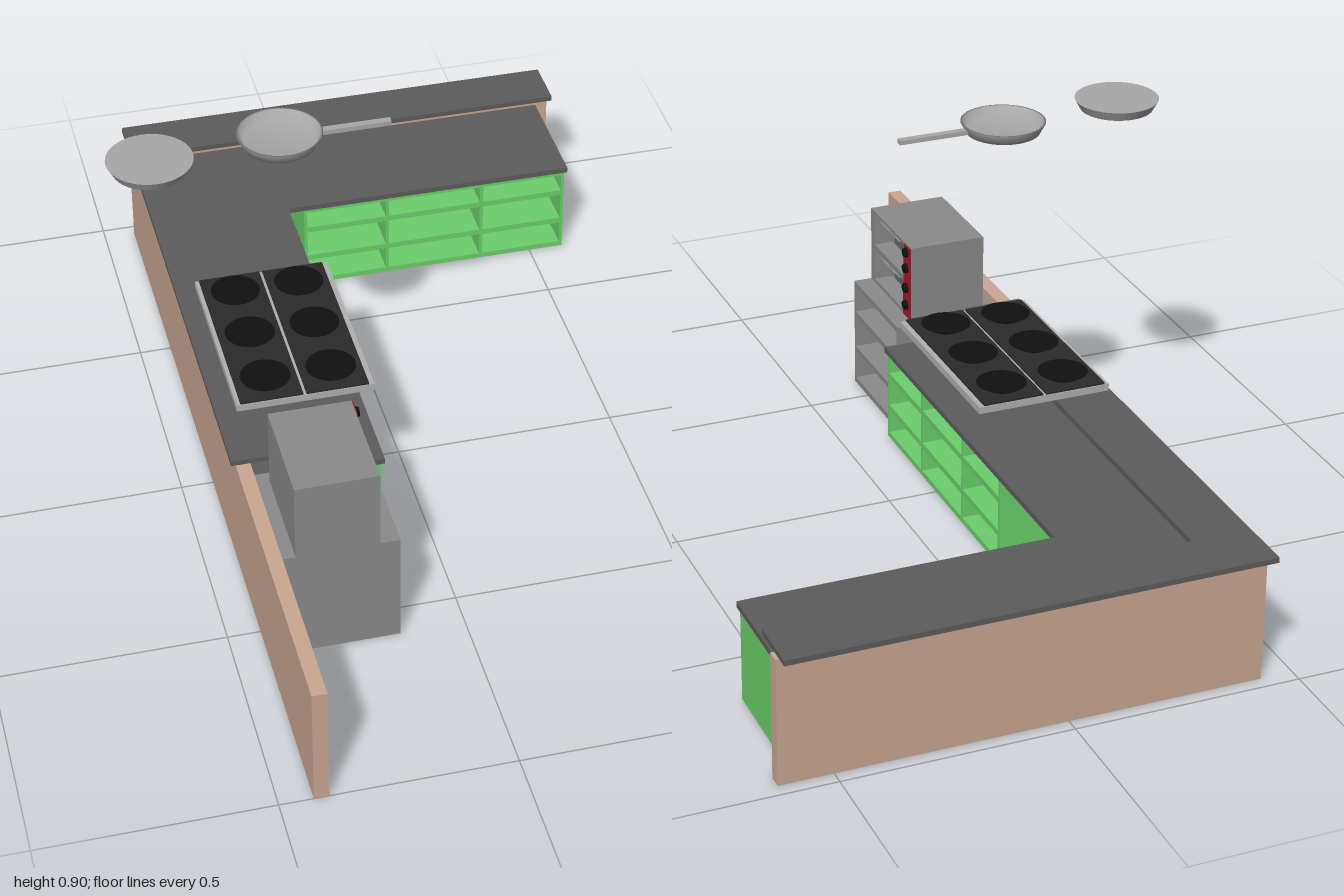
import * as THREE from 'three';

const mat = (color, side = THREE.FrontSide) =>
  new THREE.MeshStandardMaterial({ color, side, flatShading: false });

const M = {
  wall: mat(0xcaa793), green: mat(0x6ccf6c), counter: mat(0x5c5c5c), steel: mat(0x8a8a8a),
  darkSteel: mat(0x666666), trim: mat(0xb0b0b0), plate: mat(0x2a2a2a), black: mat(0x101010),
  red: mat(0xa01828), pan: mat(0xa8a8a8, THREE.DoubleSide),
};

export function createModel() {
  const root = new THREE.Group();

  const add = (parent, name, geo, material) => {
    const mesh = new THREE.Mesh(geo, material);
    mesh.name = name;
    parent.add(mesh);
    return mesh;
  };

  // Box given by its two extreme corners
  const box = (parent, name, material, [x0, y0, z0], [x1, y1, z1]) => {
    const geo = new THREE.BoxGeometry(x1 - x0, y1 - y0, z1 - z0);
    geo.translate((x0 + x1) / 2, (y0 + y1) / 2, (z0 + z1) / 2);
    return add(parent, name, geo, material);
  };

  const rectPoints = (x0, y0, x1, y1) => [[x0, y0], [x1, y0], [x1, y1], [x0, y1]]
    .map(([x, y]) => new THREE.Vector2(x, y));

  // Panel with a grid of rectangular holes, extruded along z to the front at z = depth
  const gridPanel = (x0, y0, x1, y1, cols, rows, depth) => {
    const shape = new THREE.Shape(rectPoints(x0, y0, x1, y1));
    for (const [a, b] of cols)
      for (const [c, d] of rows) shape.holes.push(new THREE.Path(rectPoints(a, c, b, d).reverse()));
    return new THREE.ExtrudeGeometry(shape, { depth, bevelEnabled: false });
  };

  // Open shelf unit, its back on z = 0, facing +z, centred on x
  const shelfUnit = (name, material, width, height, depth, cols, rows) => {
    const group = new THREE.Group();
    group.name = name;
    const back = 0.012;
    const carcass = gridPanel(-width / 2, 0, width / 2, height, cols, rows, depth - back);
    add(group, 'shelves', carcass, material).position.z = back;
    box(group, 'backPanel', material, [-width / 2, 0, 0], [width / 2, height, back]);
    root.add(group);
    return group;
  };

  // Flat L-shaped slab in plan: a leg along z and a leg along -z edge
  const lSlab = (name, y, thick, x0, x1, innerX, z0, z1, innerZ) => {
    const pts = [[x0, z0], [x1, z0], [x1, innerZ], [innerX, innerZ], [innerX, z1], [x0, z1]];
    const shape = new THREE.Shape(pts.map(([x, z]) => new THREE.Vector2(x, -z)));
    const geo = new THREE.ExtrudeGeometry(shape, { depth: thick, bevelEnabled: false });
    geo.rotateX(-Math.PI / 2);
    add(root, name, geo, M.counter).position.y = y;
  };

  // Half-height walls
  box(root, 'sideWall', M.wall, [-0.428, 0, -0.97], [-0.396, 0.284, 1]);
  box(root, 'backWall', M.wall, [-0.396, 0, -0.97], [0.617, 0.284, -0.94]);

  // Raised bar top and lower worktop
  lSlab('barTop', 0.286, 0.012, -0.438, 0.61, -0.305, -1, 0.287, -0.876);
  lSlab('worktop', 0.222, 0.013, -0.396, 0.588, -0.102, -0.94, 0.285, -0.66);

  // Green shelf units under the worktop
  const cols = [[-0.315, -0.122], [-0.114, 0.112], [0.12, 0.315]];
  const rows = [[0.013, 0.07], [0.084, 0.152], [0.166, 0.21]];
  const backUnit = shelfUnit('backShelfUnit', M.green, 0.645, 0.217, 0.28, cols, rows);
  backUnit.position.set(0.258, 0.005, -0.94);
  const sideUnit = shelfUnit('sideShelfUnit', M.green, 0.65, 0.217, 0.286, cols, rows);
  sideUnit.rotation.y = Math.PI / 2;
  sideUnit.position.set(-0.396, 0.005, -0.04);

  // Grey shelf unit carrying the oven
  const ovenStand = shelfUnit('ovenStand', M.steel, 0.275, 0.265, 0.253, [[-0.13, 0.13]],
    [[0.013, 0.084], [0.096, 0.174], [0.188, 0.253]]);
  ovenStand.rotation.y = Math.PI / 2;
  ovenStand.position.set(-0.395, 0.002, 0.4425);

  // Double oven: body, recessed windows, red control strip with knobs
  const oven = new THREE.Group();
  oven.name = 'oven';
  oven.rotation.y = Math.PI / 2;
  oven.position.set(-0.365, 0.267, 0.455);
  root.add(oven);
  const ovenRows = [[0.008, 0.083], [0.097, 0.174]];
  box(oven, 'ovenBody', M.steel, [-0.125, 0, 0], [0.125, 0.182, 0.135]);
  add(oven, 'ovenFront', gridPanel(-0.125, 0, 0.125, 0.182, [[-0.103, 0.076]], ovenRows, 0.045),
    M.steel).position.z = 0.135;
  for (const [low, high] of ovenRows) {
    box(oven, 'ovenWindow', M.darkSteel, [-0.068, low + 0.01, 0.135], [0.05, high - 0.008, 0.142]);
    box(oven, 'ovenHandle', M.trim, [-0.068, high - 0.006, 0.172], [0.05, high - 0.002, 0.179]);
  }
  box(oven, 'controlStrip', M.red, [0.085, 0.002, 0.178], [0.125, 0.18, 0.183]);
  for (const y of [0.033, 0.076, 0.126, 0.169 - 0.003]) {
    const knob = add(oven, 'knob', new THREE.CylinderGeometry(0.01, 0.012, 0.008, 16), M.black);
    knob.rotation.x = Math.PI / 2;
    knob.position.set(0.105, y, 0.187);
  }

  // Hob: steel tray, two black plates and six burners
  const hob = new THREE.Group();
  hob.name = 'hob';
  root.add(hob);
  box(hob, 'hobTray', M.trim, [-0.4, 0.336, -0.28], [-0.096, 0.352, 0.172]);
  for (const x of [-0.322, -0.177]) {
    box(hob, 'hobPlate', M.plate, [x - 0.069, 0.35, -0.278], [x + 0.069, 0.356, 0.17]);
    for (const z of [-0.21, -0.055, 0.102]) {
      const burner = add(hob, 'burner', new THREE.CylinderGeometry(0.055, 0.035, 0.012, 32), M.black);
      burner.position.set(x, 0.36, z);
    }
  }

  // Open frying pan with a straight handle
  const fryingPan = new THREE.Group();
  fryingPan.name = 'fryingPan';
  fryingPan.position.set(-0.248, 0.873, -0.036);
  root.add(fryingPan);
  const panProfile = [[0, 0], [0.08, 0], [0.092, 0.023], [0.087, 0.023], [0.077, 0.004], [0, 0.004]]
    .map(([r, y]) => new THREE.Vector2(r, y));
  add(fryingPan, 'panBowl', new THREE.LatheGeometry(panProfile, 40), M.pan);
  box(fryingPan, 'panHandle', M.pan, [0.084, 0.006, -0.008], [0.24, 0.016, 0.008]);

  // Covered pan with a flat top
  const coveredPan = add(root, 'coveredPan', new THREE.CylinderGeometry(0.092, 0.08, 0.022, 40), M.pan);
  coveredPan.position.set(-0.53, 0.885, -0.006);

  return root;
}
